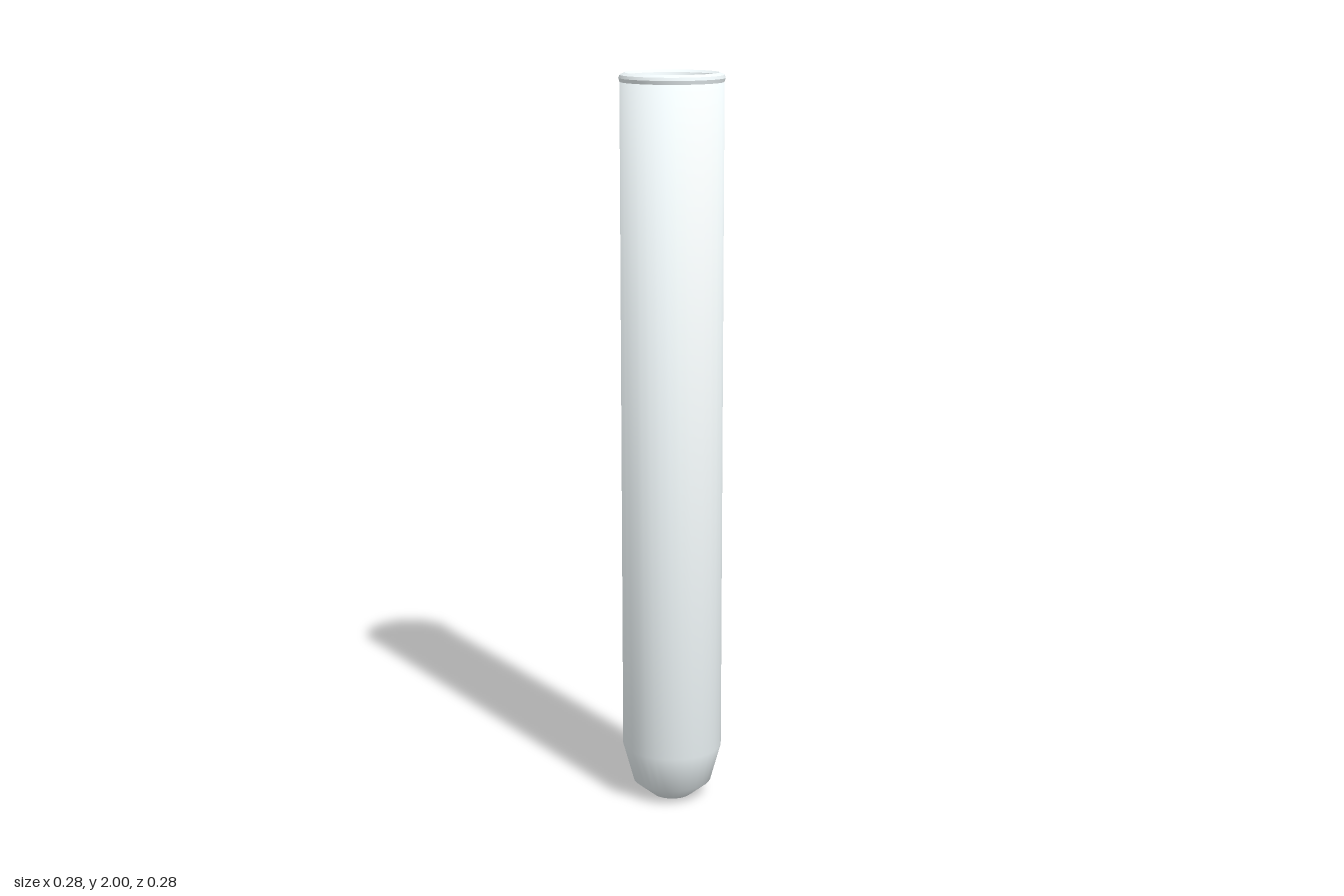
import * as THREE from 'three';
import { toCreasedNormals } from 'three/addons/utils/BufferGeometryUtils.js';

const SEGMENTS = 32;

// Surface of revolution from [radius, height] pairs
function revolve(profile) {
  return new THREE.LatheGeometry(profile.map(([r, y]) => new THREE.Vector2(r, y)), SEGMENTS);
}

// Blend the normals of neighbouring bands equally, whatever their length
function blendNormals(geometry, profile) {
  const bands = profile.slice(1).map(([r, y], i) =>
    new THREE.Vector2(y - profile[i][1], profile[i][0] - r).normalize());
  const normal = geometry.attributes.normal;
  for (let i = 0; i <= SEGMENTS; i++) {
    const a = (i / SEGMENTS) * Math.PI * 2;
    profile.forEach(([r], j) => {
      const n = new THREE.Vector2();
      if (j > 0) n.add(bands[j - 1]);
      if (j < bands.length) n.add(bands[j]);
      if (r === 0) n.x = 0;
      n.normalize();
      normal.setXYZ(i * profile.length + j, n.x * Math.sin(a), n.y, n.x * Math.cos(a));
    });
  }
  return geometry;
}

export function createModel() {
  const group = new THREE.Group();
  group.name = 'testTube';
  const material = new THREE.MeshStandardMaterial({ color: 0xf0f8fa });
  const add = (name, geometry) => {
    const mesh = new THREE.Mesh(geometry, material);
    mesh.name = name;
    group.add(mesh);
  };

  // Tube: dimpled base, tapered foot, outer wall, top ledge, inner wall, hollow base
  const tube = [
    [0, 0.012], [0.055, 0.002], [0.108, 0.045], [0.137, 0.15], [0.137, 1.98],
    [0.111, 1.98], [0.111, 0.16], [0.085, 0.07], [0.043, 0.034], [0, 0.034],
  ];
  add('tube', blendNormals(revolve(tube), tube));

  // Bevelled bead around the mouth
  add('rim', toCreasedNormals(revolve([
    [0.137, 1.976], [0.14, 1.986], [0.137, 1.994], [0.124, 2],
    [0.112, 1.994], [0.109, 1.986], [0.111, 1.976], [0.137, 1.976],
  ]), 0.35));

  return group;
}
